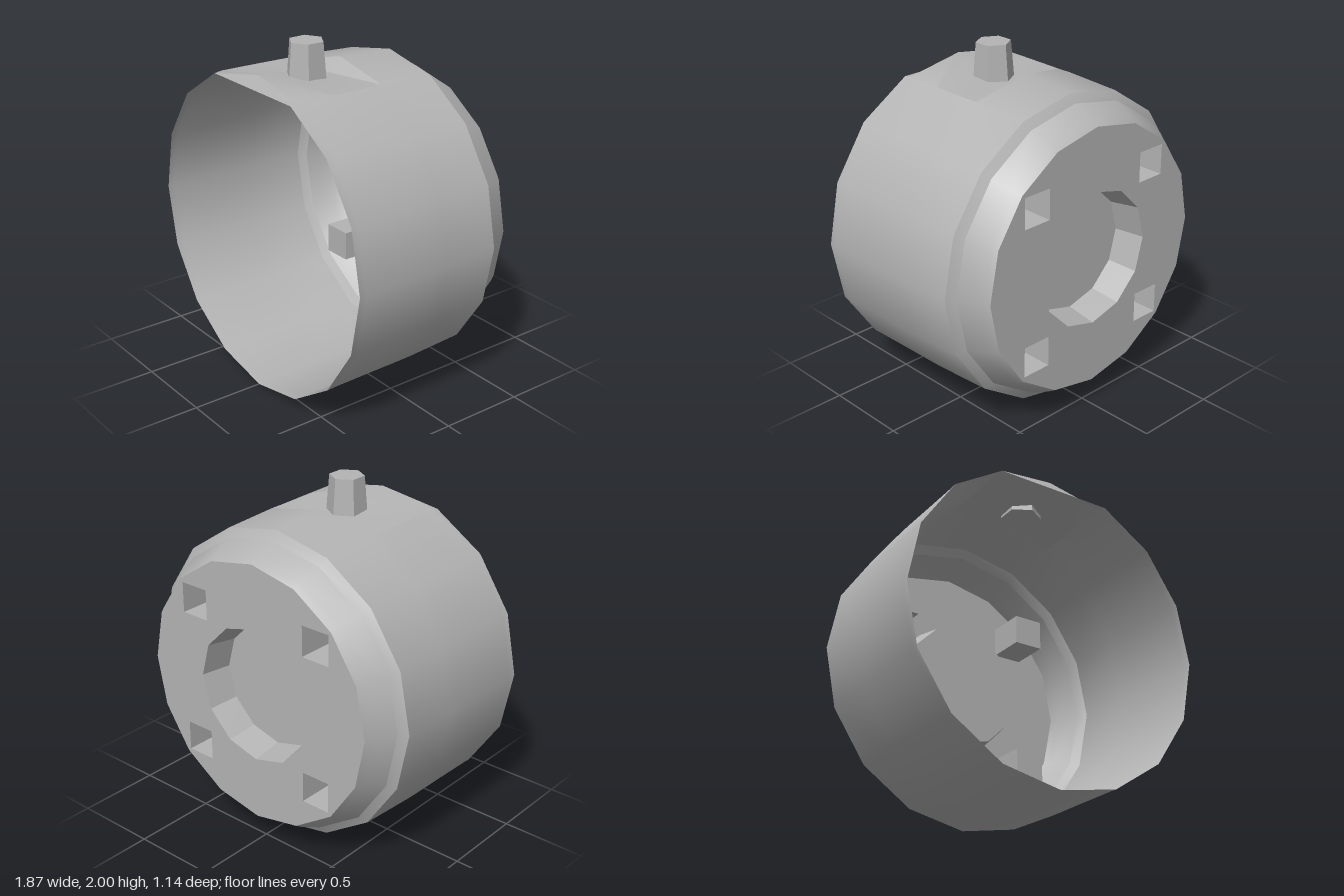
import * as THREE from 'three';
import { toCreasedNormals } from 'three/addons/utils/BufferGeometryUtils.js';

const SIDES = 16, CY = 0.935, BACK = -0.57;

// Skin a row of rings [z, radius, ceiling]; the ceiling flattens the top of a ring.
function ringSkin(rings, sides) {
  const pos = [], index = [];
  for (const [z, r, top = 9] of rings) {
    for (let i = 0; i < sides; i++) {
      const a = (i / sides) * Math.PI * 2;
      pos.push(r * Math.cos(a), Math.min(CY + r * Math.sin(a), top), z);
    }
  }
  for (let k = 0; k < rings.length - 1; k++) {
    for (let i = 0; i < sides; i++) {
      const a = k * sides + i, b = k * sides + (i + 1) % sides;
      index.push(a, a + sides, b, b, a + sides, b + sides);
    }
  }
  const geo = new THREE.BufferGeometry();
  geo.setAttribute('position', new THREE.Float32BufferAttribute(pos, 3));
  geo.setIndex(index);
  return toCreasedNormals(geo, 0.5);
}

function circlePoints(r, sides) {
  return Array.from({ length: sides }, (_, i) => {
    const a = (i / sides) * Math.PI * 2;
    return new THREE.Vector2(r * Math.cos(a), CY + r * Math.sin(a));
  });
}

export function createModel() {
  const group = new THREE.Group();
  const grey = new THREE.MeshStandardMaterial({ color: 0xb4b4b4, side: THREE.DoubleSide });
  grey.name = 'grey';
  const add = (name, geo, x = 0, y = 0, z = 0) => {
    const mesh = new THREE.Mesh(geo, grey);
    mesh.name = name;
    mesh.position.set(x, y, z);
    group.add(mesh);
    return mesh;
  };

  // Open cup with a dished seat on top
  add('shell', ringSkin([
    [0.575, 0.935, 1.79], [0.53, 0.933, 1.86], [0.3, 0.93, 1.81],
    [0.07, 0.928, 1.79], [-0.02, 0.926], [-0.37, 0.91],
  ], SIDES));

  // Step and bevel towards the back
  add('backBevel', ringSkin([[-0.37, 0.91], [-0.405, 0.86], [-0.53, 0.8], [BACK, 0.775]], SIDES));

  // Back wall pierced by the round recess and four square pockets
  const size = 0.18, pocketDepth = 0.24, recessDepth = 0.18;
  const pockets = [];
  for (const sx of [-1, 1]) for (const sy of [-1, 1]) pockets.push([sx * 0.44, CY + sy * 0.44]);

  const wall = new THREE.Shape(circlePoints(0.775, SIDES));
  wall.holes.push(new THREE.Path(circlePoints(0.4, 12)));
  for (const [x, y] of pockets) {
    const h = size / 2;
    wall.holes.push(new THREE.Path([
      new THREE.Vector2(x - h, y - h), new THREE.Vector2(x - h, y + h),
      new THREE.Vector2(x + h, y + h), new THREE.Vector2(x + h, y - h),
    ]));
  }
  add('backWall', new THREE.ShapeGeometry(wall), 0, 0, BACK);

  // Round recess pushed into the cup
  add('recessWall', ringSkin([[BACK + recessDepth, 0.37], [BACK, 0.4]], 12));
  add('recessFloor', new THREE.ShapeGeometry(new THREE.Shape(circlePoints(0.37, 12))),
    0, 0, BACK + recessDepth);

  // Square pockets: boxes without their back face
  for (const [x, y] of pockets) {
    const box = new THREE.BoxGeometry(size, size, pocketDepth);
    box.setIndex(Array.from(box.index.array).slice(0, 30));
    box.clearGroups();
    add('pocket', box, x, y, BACK + pocketDepth / 2);
  }

  // Six-sided knob on the seat
  const knob = new THREE.CylinderGeometry(0.1, 0.118, 0.22, 6);
  add('knob', toCreasedNormals(knob, 0.5), 0.01, 1.89, 0.22);

  return group;
}
